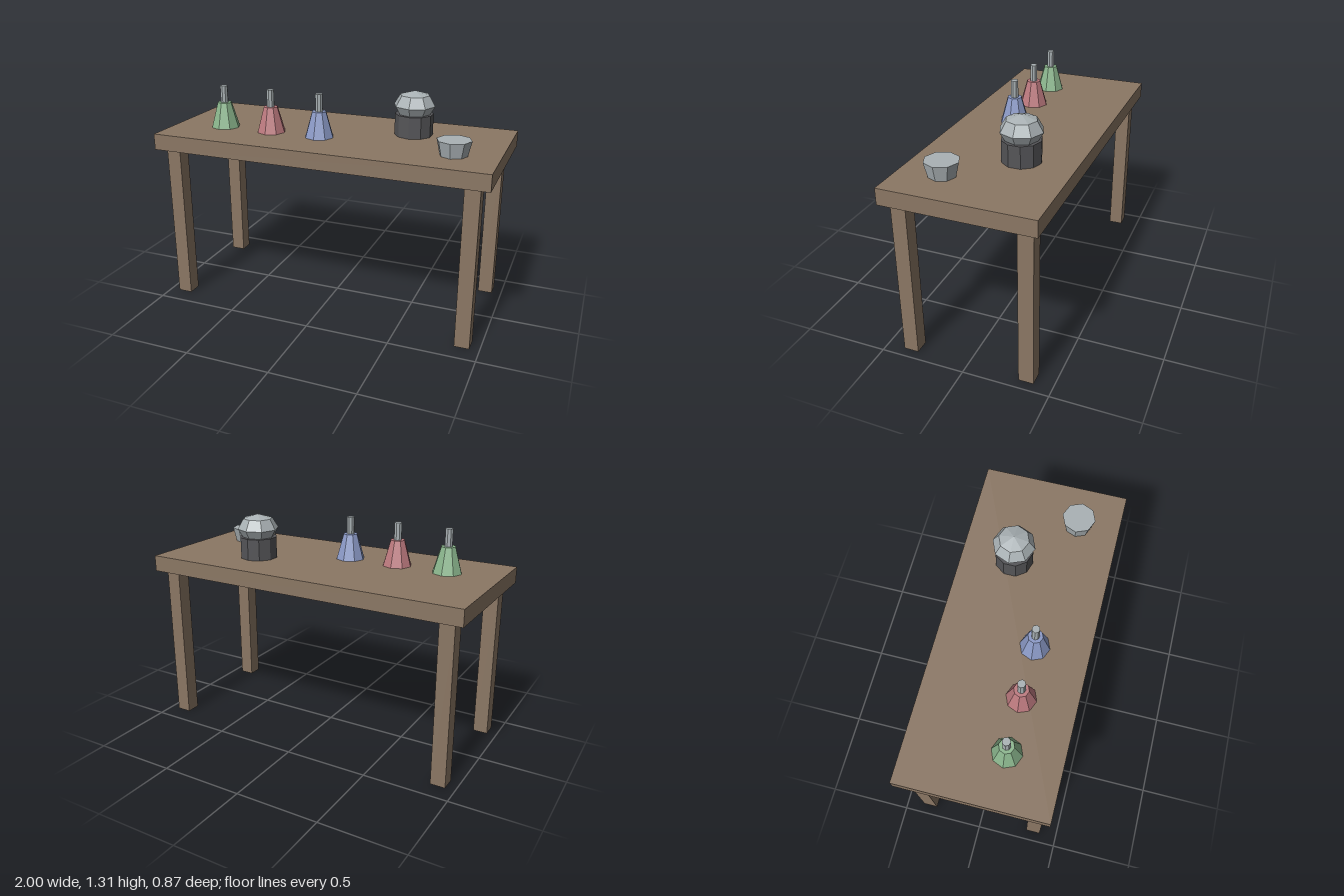
import * as THREE from 'three';

export function createModel() {
  const model = new THREE.Group();
  model.name = 'labTable';

  const paint = (name, color) => {
    const m = new THREE.MeshStandardMaterial({ color, flatShading: true });
    m.name = name;
    return m;
  };
  const wood = paint('wood', 0x8b7764);
  const glass = paint('paleGlass', 0xaab2b5);
  const dark = paint('darkMetal', 0x555558);
  const green = paint('greenGlass', 0x8bb68d);
  const red = paint('redGlass', 0xbd7a7f);
  const blue = paint('blueGlass', 0x8c9bc8);

  const add = (parent, name, geometry, material, x, y, z) => {
    const mesh = new THREE.Mesh(geometry, material);
    mesh.name = name;
    mesh.position.set(x, y, z);
    parent.add(mesh);
    return mesh;
  };

  const topY = 1.05;

  // Table top and four square legs
  const slab = 0.096;
  const legHeight = topY - slab;
  add(model, 'tableTop', new THREE.BoxGeometry(2, slab, 0.87), wood, 0, topY - slab / 2, 0);
  for (const [sx, side] of [[1, 'left'], [-1, 'right']]) {
    for (const [sz, end] of [[1, 'Front'], [-1, 'Back']]) {
      add(model, `${side}${end}Leg`, new THREE.BoxGeometry(0.087, legHeight, 0.087), wood,
        sx * 0.9, legHeight / 2, sz * 0.349);
    }
  }

  // Row of conical flasks with narrow necks
  [['greenFlask', green, -0.69], ['redFlask', red, -0.378], ['blueFlask', blue, -0.066]].forEach(([name, colour, x]) => {
    const flask = new THREE.Group();
    flask.name = name;
    flask.position.set(x, topY, 0.122);
    add(flask, 'flaskBody', new THREE.CylinderGeometry(0.043, 0.087, 0.152, 8), colour, 0, 0.076, 0);
    add(flask, 'flaskNeck', new THREE.CylinderGeometry(0.023, 0.023, 0.102, 8), glass, 0, 0.203, 0);
    model.add(flask);
  });

  // Burner: dark base carrying a flattened dome
  const burner = new THREE.Group();
  burner.name = 'burner';
  burner.position.set(0.435, topY, -0.126);
  add(burner, 'burnerBase', new THREE.CylinderGeometry(0.113, 0.113, 0.128, 10), dark, 0, 0.064, 0);
  const dome = add(burner, 'burnerDome', new THREE.SphereGeometry(0.124, 8, 4), glass, 0, 0.177, 0);
  dome.scale.y = 0.7;
  model.add(burner);

  // Shallow flared dish
  add(model, 'dish', new THREE.CylinderGeometry(0.098, 0.078, 0.087, 8), glass, 0.747, topY + 0.0435, 0.188);

  return model;
}
